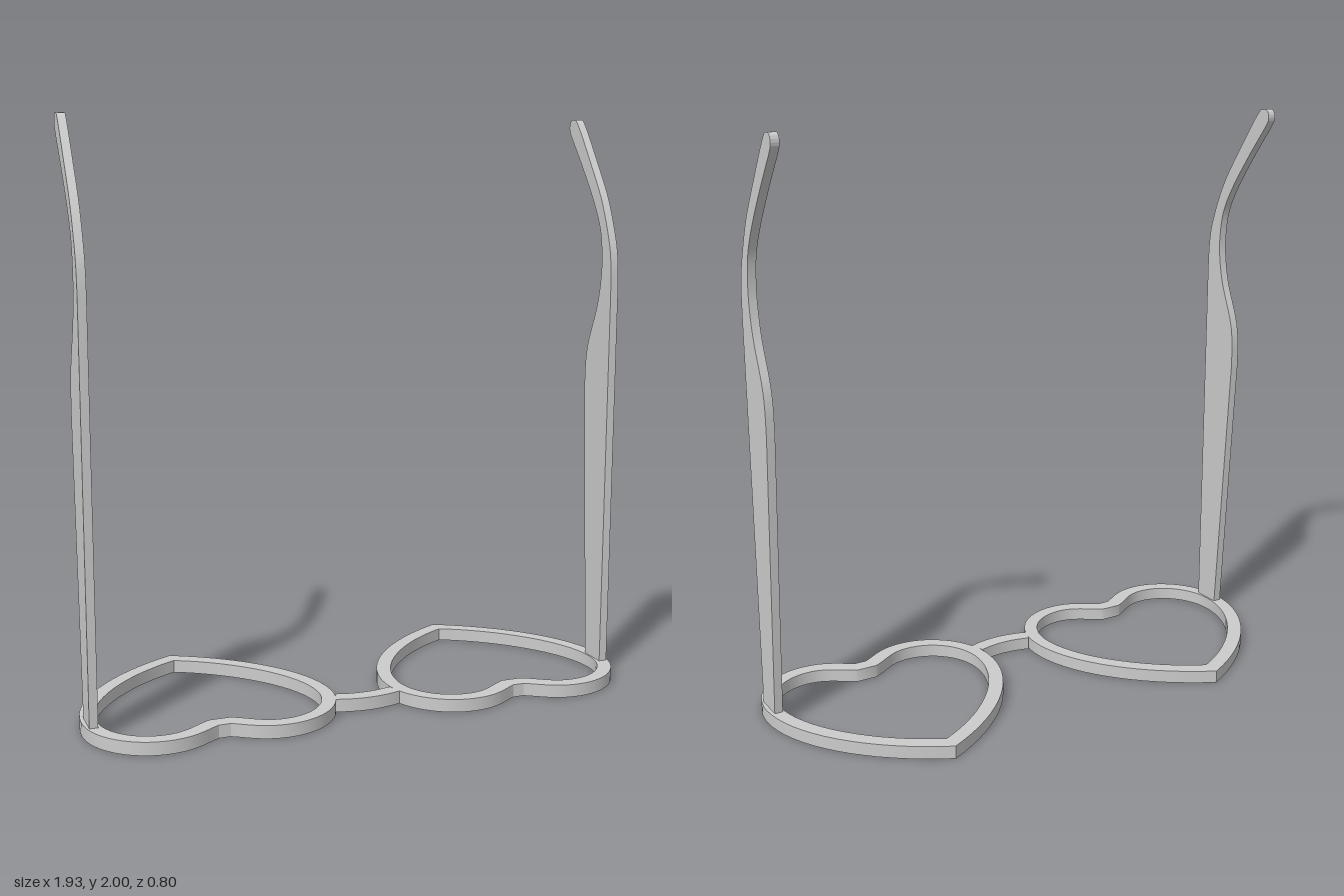
import * as THREE from 'three';
import { toCreasedNormals } from 'three/addons/utils/BufferGeometryUtils.js';

const RIM_HEIGHT = 0.045;
const LENS_X = 0.533;
const TEMPLE_X = 0.937;
const TEMPLE_THICKNESS = 0.029;

const material = new THREE.MeshStandardMaterial({ color: 0xcccccc });

function extrude(shape, depth) {
  const geometry = new THREE.ExtrudeGeometry(shape, { depth, bevelEnabled: false, curveSegments: 16 });
  return toCreasedNormals(geometry, 0.5);
}

// Symmetric heart outline, traced counter-clockwise so that the walls of the hole face inward.
// Points are [x, z] of one half, each curve is [control, control, end].
function traceHeart(path, tip, curves) {
  path.moveTo(tip[0], -tip[1]);
  for (const [a, b, c] of curves) path.bezierCurveTo(-a[0], -a[1], -b[0], -b[1], -c[0], -c[1]);
  // flat notch, then the mirrored half back to the tip
  const notch = curves[curves.length - 1][2];
  path.lineTo(notch[0], -notch[1]);
  for (let i = curves.length - 1; i >= 0; i--) {
    const [a, b] = curves[i];
    const end = i > 0 ? curves[i - 1][2] : tip;
    path.bezierCurveTo(b[0], -b[1], a[0], -a[1], end[0], -end[1]);
  }
  return path;
}

function rimGeometry() {
  const outer = traceHeart(new THREE.Shape(), [0, -0.403], [
    [[0.25, -0.28], [0.433, -0.06], [0.433, 0.15]],
    [[0.433, 0.295], [0.32, 0.4], [0.2, 0.4]],
    [[0.11, 0.4], [0.07, 0.355], [0.02, 0.328]],
  ]);
  outer.holes.push(traceHeart(new THREE.Path(), [0, -0.342], [
    [[0.21, -0.24], [0.384, -0.03], [0.384, 0.15]],
    [[0.384, 0.265], [0.3, 0.348], [0.2, 0.348]],
    [[0.125, 0.348], [0.09, 0.297], [0.035, 0.273]],
  ]));
  return extrude(outer, RIM_HEIGHT).rotateX(-Math.PI / 2);
}

// Gently bowed bar between the two rims
function bridgeGeometry() {
  const shape = new THREE.Shape();
  shape.moveTo(-0.118, -0.242);
  shape.quadraticCurveTo(0, -0.285, 0.118, -0.242);
  shape.lineTo(0.1, -0.192);
  shape.quadraticCurveTo(0, -0.225, -0.1, -0.192);
  return extrude(shape, RIM_HEIGHT).rotateX(-Math.PI / 2);
}

// Side profile of a temple arm; points are [z, y]
function templeGeometry() {
  const shape = new THREE.Shape();
  const spline = (points) => shape.splineThru(points.map(([z, y]) => new THREE.Vector2(-z, y)));
  shape.moveTo(-0.213, 0.04);
  shape.lineTo(-0.219, 1.39);
  // outer bend up to the rounded tip
  spline([[0.215, 1.49], [0.196, 1.58], [0.14, 1.715], [0.06, 1.84], [-0.037, 1.978],
    [-0.07, 1.999], [-0.094, 1.99], [-0.098, 1.962], [-0.078, 1.93]]);
  // inner bend, swelling into the wide part
  spline([[0.0, 1.83], [0.085, 1.71], [0.137, 1.61], [0.153, 1.513], [0.149, 1.43],
    [0.127, 1.335], [0.076, 1.21], [0.059, 1.13], [0.056, 1.03]]);
  shape.lineTo(-0.111, 0.04);
  return extrude(shape, TEMPLE_THICKNESS)
    .translate(0, 0, -TEMPLE_THICKNESS / 2)
    .rotateY(Math.PI / 2);
}

export function createModel() {
  const model = new THREE.Group();
  model.name = 'heartGlasses';

  const add = (name, geometry, x = 0) => {
    const mesh = new THREE.Mesh(geometry, material);
    mesh.name = name;
    mesh.position.x = x;
    model.add(mesh);
  };

  const rim = rimGeometry();
  const temple = templeGeometry();
  for (const [side, s] of [['left', 1], ['right', -1]]) {
    add(side + 'Rim', rim, s * LENS_X);
    add(side + 'Temple', temple, s * TEMPLE_X);
  }
  add('bridge', bridgeGeometry());
  return model;
}
